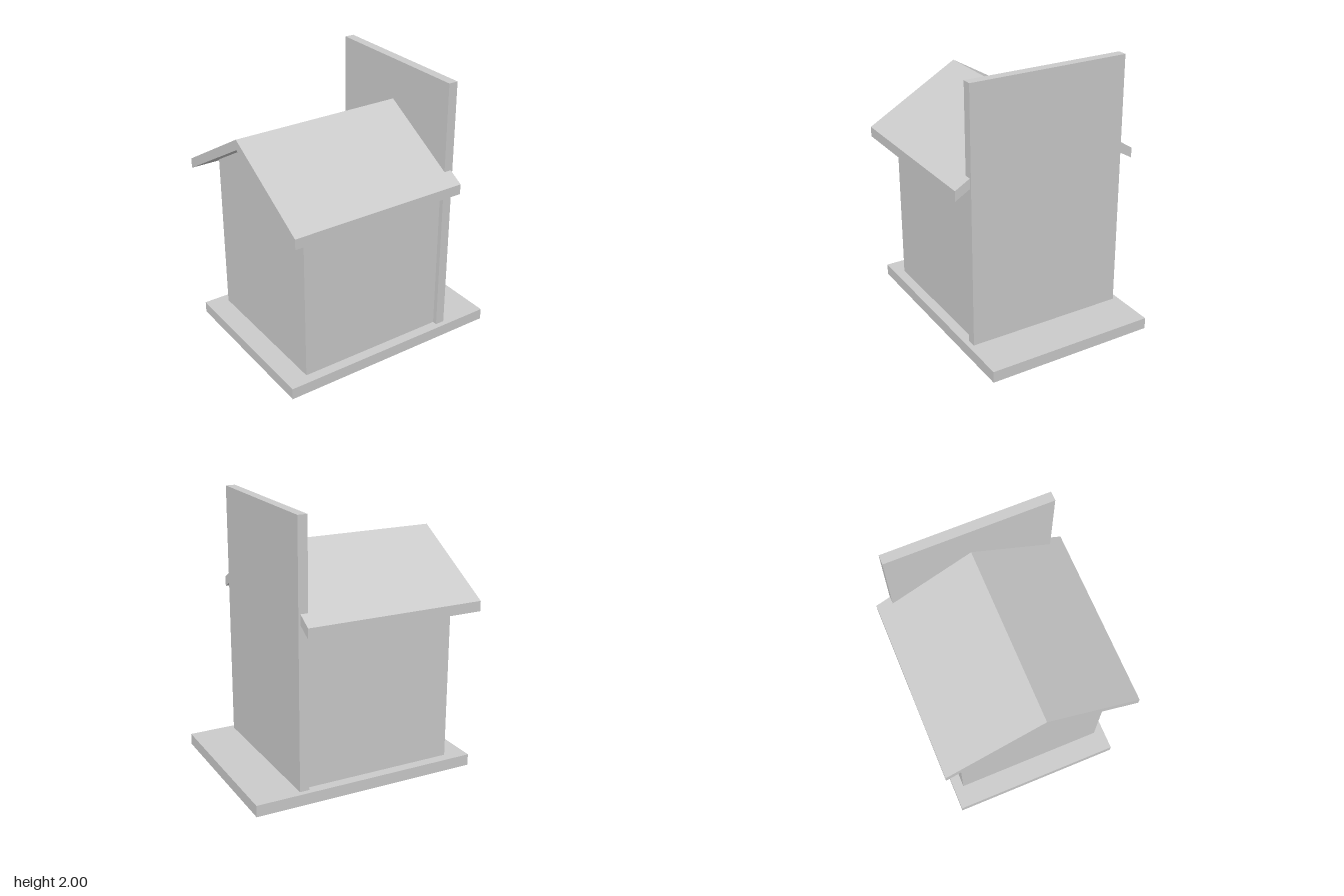
import * as THREE from 'three';

const material = new THREE.MeshStandardMaterial({ color: 0xcccccc, side: THREE.DoubleSide, flatShading: true });

// Main measurements
const BASE = { x: 0.85, z: 0.64, top: 0.085 };
const WALL = { x0: -0.69, x1: 0.44, z: 0.565 };
const BOARD = { x0: 0.44, x1: 0.51, z: 0.6, top: 2 };
const ROOF = { x0: -0.84, x1: 0.495, z: 0.71, ridge: 1.7, eave: 1.29, thick: 0.075 };
const slope = (ROOF.ridge - ROOF.eave) / ROOF.z;
const underside = (z) => ROOF.ridge - ROOF.thick - slope * Math.abs(z);

function add(parent, name, geometry, x = 0, y = 0, z = 0) {
  const mesh = new THREE.Mesh(geometry, material);
  mesh.name = name;
  mesh.position.set(x, y, z);
  parent.add(mesh);
  return mesh;
}

// Thin-walled box without the listed faces (0 +x, 1 -x, 2 +y, 3 -y, 4 +z, 5 -z)
function openBox(w, h, d, missing) {
  const geometry = new THREE.BoxGeometry(w, h, d);
  const index = Array.from(geometry.index.array);
  geometry.setIndex(index.filter((_, i) => !missing.includes(Math.floor(i / 6))));
  geometry.clearGroups();
  return geometry;
}

function polygon(points) {
  return points.map(([x, y]) => new THREE.Vector2(x, y));
}

function rectangle(x0, x1, z) {
  return polygon([[x0, -z], [x1, -z], [x1, z], [x0, z]]);
}

export function createModel() {
  const model = new THREE.Group();
  model.name = 'gabledHouse';

  // Hollow base: rim and a top plate cut out under the house and the board
  const base = new THREE.Group();
  base.name = 'base';
  model.add(base);
  add(base, 'baseRim', openBox(2 * BASE.x, BASE.top, 2 * BASE.z, [2, 3]), 0, BASE.top / 2, 0);
  const plate = new THREE.Shape(rectangle(-BASE.x, BASE.x, BASE.z));
  plate.holes.push(new THREE.Path(rectangle(WALL.x0, WALL.x1 - 0.03, WALL.z)));
  plate.holes.push(new THREE.Path(rectangle(BOARD.x0, BOARD.x1, BOARD.z)));
  add(base, 'baseTop', new THREE.ShapeGeometry(plate).rotateX(-Math.PI / 2), 0, BASE.top, 0);

  // House walls, open below
  const walls = new THREE.Group();
  walls.name = 'walls';
  model.add(walls);
  const length = WALL.x1 - WALL.x0;
  const height = underside(WALL.z) - BASE.top;
  for (const side of [1, -1]) {
    const wall = add(walls, side > 0 ? 'frontWall' : 'backWall', new THREE.PlaneGeometry(length, height),
      (WALL.x0 + WALL.x1) / 2, BASE.top + height / 2, side * WALL.z);
    if (side < 0) wall.rotation.y = Math.PI;
  }
  const gable = new THREE.Shape(polygon([
    [-WALL.z, BASE.top], [WALL.z, BASE.top], [WALL.z, underside(WALL.z)],
    [0, underside(0)], [-WALL.z, underside(WALL.z)],
  ]));
  add(walls, 'gableWall', new THREE.ShapeGeometry(gable).rotateY(-Math.PI / 2), WALL.x0, 0, 0);

  // Tall end board
  const boardHeight = BOARD.top - BASE.top;
  add(model, 'endBoard', openBox(BOARD.x1 - BOARD.x0, boardHeight, 2 * BOARD.z, [3]),
    (BOARD.x0 + BOARD.x1) / 2, BASE.top + boardHeight / 2, 0);

  // Gabled roof with plumb-cut eaves
  const chevron = new THREE.Shape(polygon([
    [-ROOF.z, underside(ROOF.z)], [0, underside(0)], [ROOF.z, underside(ROOF.z)],
    [ROOF.z, ROOF.eave], [0, ROOF.ridge], [-ROOF.z, ROOF.eave],
  ]));
  const roof = new THREE.ExtrudeGeometry(chevron, { depth: ROOF.x1 - ROOF.x0, bevelEnabled: false });
  add(model, 'roof', roof.rotateY(Math.PI / 2), ROOF.x0, 0, 0);

  return model;
}
